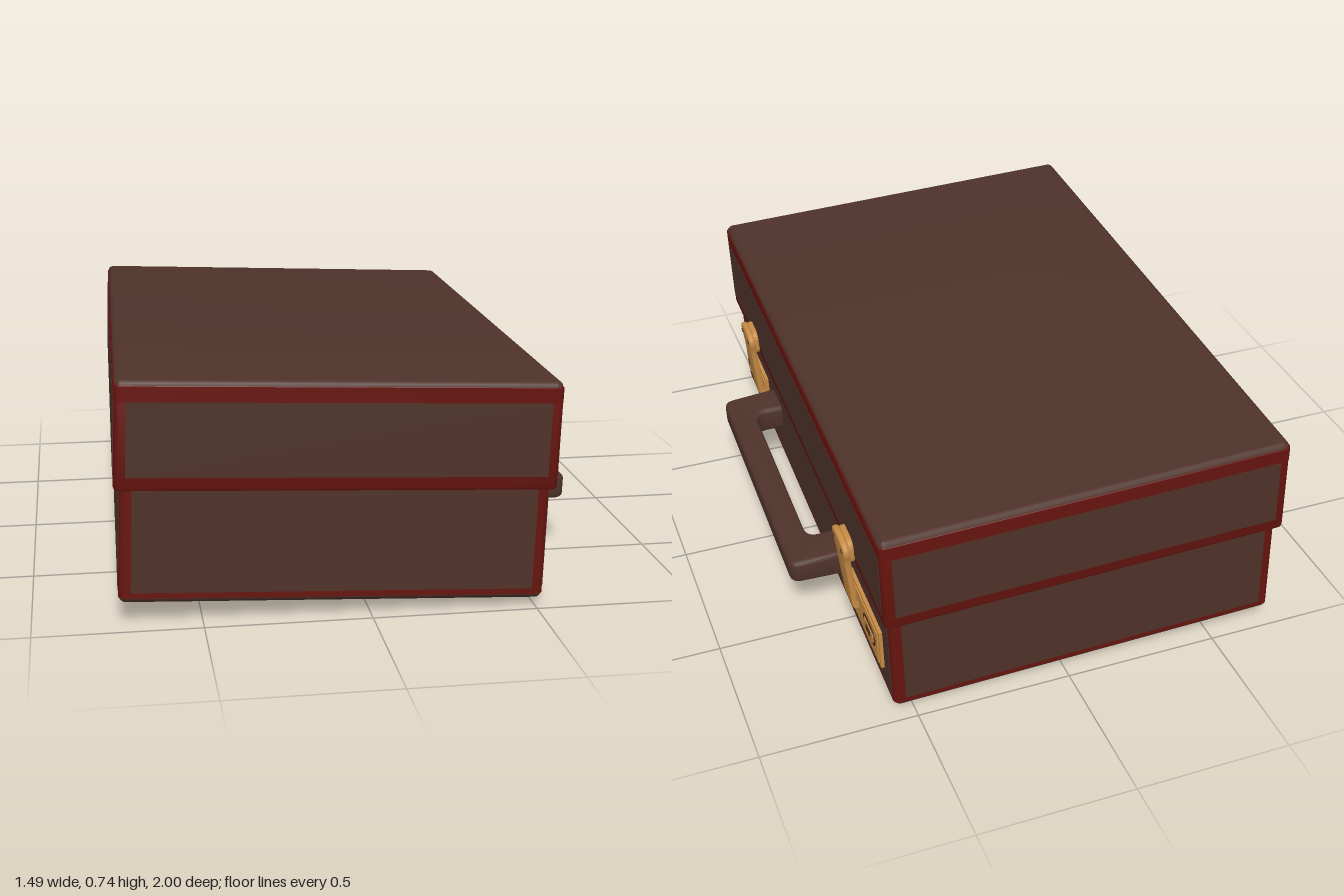
import * as THREE from 'three';
import { toCreasedNormals } from 'three/addons/utils/BufferGeometryUtils.js';

const mat = (color) => new THREE.MeshStandardMaterial({ color });
const leather = mat(0x4e3229), trim = mat(0x66140e), brass = mat(0xc68a45), dark = mat(0x4a3018);

function add(parent, name, geometry, material, x = 0, y = 0, z = 0) {
  const mesh = new THREE.Mesh(geometry, material);
  mesh.name = name;
  mesh.position.set(x, y, z);
  parent.add(mesh);
  return mesh;
}

function roundedRect(w, h, r) {
  const s = new THREE.Shape(), a = w / 2 - r, b = h / 2 - r, q = Math.PI / 2;
  s.absarc(a, b, r, 0, q);
  s.absarc(-a, b, r, q, 2 * q);
  s.absarc(-a, -b, r, 2 * q, 3 * q);
  s.absarc(a, -b, r, 3 * q, 4 * q);
  s.closePath();
  return s;
}

// Extrusion whose bevel stays inside the outline; spans 0..depth
function extrude(shape, depth, bevel, segments = 3) {
  const g = new THREE.ExtrudeGeometry(shape, {
    depth: depth - 2 * bevel, bevelEnabled: bevel > 0, bevelThickness: bevel, bevelSize: bevel,
    bevelOffset: -bevel, bevelSegments: segments, curveSegments: 6,
  });
  return g.translate(0, 0, bevel);
}

// Slab lying flat, rising from y = 0
const slab = (w, l, h, r, bevel) =>
  toCreasedNormals(extrude(roundedRect(w, l, r), h, bevel).rotateX(-Math.PI / 2), 0.6);

// Plate on the +x face: shape x runs along z, shape y along y, depth along +x
const facePlate = (shape, depth, bevel) =>
  toCreasedNormals(extrude(shape, depth, bevel, 2).scale(-1, 1, 1).rotateY(Math.PI / 2)
    .scale(1, 1, 1), 0.6);

// Leather panels standing just proud of the four trimmed sides
function sidePanels(parent, name, w, l, y0, y1, marginX, marginZ) {
  const h = y1 - y0, y = (y0 + y1) / 2, t = 0.004;
  for (const s of [-1, 1]) {
    add(parent, name + 'End', new THREE.BoxGeometry(w - 2 * marginZ, h, t), leather, 0, y, s * l / 2);
    add(parent, name + 'Side', new THREE.BoxGeometry(t, h, l - 2 * marginX), leather, s * w / 2, y, 0);
  }
}

// Lever outline: wide rounded head narrowing to a straight neck
function leverShape() {
  const s = new THREE.Shape();
  s.moveTo(-0.048, 0);
  s.lineTo(0.048, 0);
  s.lineTo(0.056, 0.17);
  s.quadraticCurveTo(0.058, 0.205, 0.068, 0.225);
  s.quadraticCurveTo(0.074, 0.258, 0.045, 0.268);
  s.quadraticCurveTo(0, 0.276, -0.045, 0.268);
  s.quadraticCurveTo(-0.074, 0.258, -0.068, 0.225);
  s.quadraticCurveTo(-0.058, 0.205, -0.056, 0.17);
  s.closePath();
  return s;
}

function latch(side) {
  const g = new THREE.Group();
  g.name = 'latch';
  const face = 0.634, lidFace = 0.652;
  // Lock plate with oval keyhole surround
  const plate = new THREE.BoxGeometry(0.014, 0.145, 0.32);
  add(g, 'lockPlate', plate, brass, face + 0.007, 0.172, side * 0.72);
  add(g, 'lockPlateRaised', new THREE.BoxGeometry(0.006, 0.12, 0.295), brass, face + 0.015, 0.172, side * 0.72);
  const oval = (w, h) => roundedRect(w, h, h / 2 - 0.002);
  const ring = oval(0.125, 0.058);
  ring.holes.push(oval(0.108, 0.042));
  const rim = extrude(ring, 0.005, 0).rotateY(Math.PI / 2);
  add(g, 'keyholeRim', rim, dark, face + 0.016, 0.18, side * 0.785);
  add(g, 'keyholeBoss', extrude(oval(0.104, 0.038), 0.007, 0).rotateY(Math.PI / 2), brass, face + 0.016, 0.18, side * 0.785);
  add(g, 'keySlot', new THREE.BoxGeometry(0.004, 0.02, 0.045), dark, face + 0.023, 0.18, side * 0.785);
  // Catch on the lid
  const catchGeo = toCreasedNormals(extrude(roundedRect(0.115, 0.09, 0.03), 0.02, 0.005).rotateY(Math.PI / 2), 0.6);
  add(g, 'lidCatch', catchGeo, brass, lidFace, 0.40, side * 0.62);
  // Hinged lever leaning outward, with two rivets
  const lever = new THREE.Group();
  lever.name = 'lever';
  lever.position.set(face + 0.018, 0.175, side * 0.62);
  lever.rotation.z = -0.075;
  g.add(lever);
  const leverGeo = toCreasedNormals(extrude(leverShape(), 0.02, 0.005).rotateY(Math.PI / 2), 0.6);
  add(lever, 'leverArm', leverGeo, brass);
  for (const s of [-1, 1]) {
    const rivet = new THREE.CylinderGeometry(0.007, 0.007, 0.004, 12).rotateZ(Math.PI / 2);
    add(lever, 'rivet', rivet, dark, 0.021, 0.238, s * 0.044);
  }
  const pin = new THREE.CylinderGeometry(0.012, 0.012, 0.1, 12).rotateX(Math.PI / 2);
  add(lever, 'hingePin', pin, brass, 0.006, 0.008, 0);
  return g;
}

// U-shaped grip, thinner at its outer edge
function handleGeometry() {
  const s = new THREE.Shape();
  s.moveTo(0.62, -0.487);
  s.lineTo(0.785, -0.485);
  s.quadraticCurveTo(0.822, -0.485, 0.822, -0.45);
  s.lineTo(0.822, 0.45);
  s.quadraticCurveTo(0.822, 0.485, 0.785, 0.485);
  s.lineTo(0.62, 0.487);
  s.lineTo(0.62, 0.36);
  s.lineTo(0.69, 0.36);
  s.quadraticCurveTo(0.733, 0.36, 0.733, 0.31);
  s.lineTo(0.733, -0.31);
  s.quadraticCurveTo(0.733, -0.36, 0.69, -0.36);
  s.lineTo(0.62, -0.36);
  s.closePath();
  const g = extrude(s, 0.096, 0.016).translate(0, 0, -0.048).rotateX(-Math.PI / 2);
  const p = g.attributes.position;
  for (let i = 0; i < p.count; i++) {
    const t = THREE.MathUtils.clamp((p.getX(i) - 0.66) / 0.16, 0, 1);
    p.setY(i, p.getY(i) * (1 - 0.2 * t));
  }
  return toCreasedNormals(g, 0.6);
}

export function createModel() {
  const model = new THREE.Group();
  model.name = 'suitcase';
  const tilted = new THREE.Group();
  tilted.name = 'tiltedCase';
  tilted.position.set(-0.095, 0.04, 0.005);
  tilted.rotation.set(-0.012, -0.018, -0.038);
  model.add(tilted);

  // Lower box
  const bw = 1.27, bl = 1.925;
  add(tilted, 'base', slab(bw - 0.004, bl - 0.004, 0.05, 0.022, 0.018), leather);
  add(tilted, 'bodyTrim', slab(bw, bl, 0.36, 0.022, 0).translate(0, 0.016, 0), trim);
  sidePanels(tilted, 'bodyPanel', bw, bl, 0.034, 0.352, 0.022, 0.036);

  // Overhanging lid
  const lw = 1.305, ll = 1.97;
  add(tilted, 'lidTrim', slab(lw, ll, 0.315, 0.022, 0.01), trim, 0, 0.348);
  add(tilted, 'lidTop', slab(lw - 0.002, ll - 0.002, 0.05, 0.022, 0.018), leather, 0, 0.625)
    .scale.set(0.999, 1, 0.999);
  sidePanels(tilted, 'lidPanel', lw, ll, 0.39, 0.612, 0.024, 0.034);
  // Trim band covering the lower half of the lid top
  add(tilted, 'lidEdgeBand', slab(lw + 0.002, ll + 0.002, 0.045, 0.022, 0), trim, 0, 0.612);

  // Fittings on the opening side
  add(tilted, 'handle', handleGeometry(), leather, 0, 0.205);
  for (const side of [-1, 1]) tilted.add(latch(side));
  return model;
}
